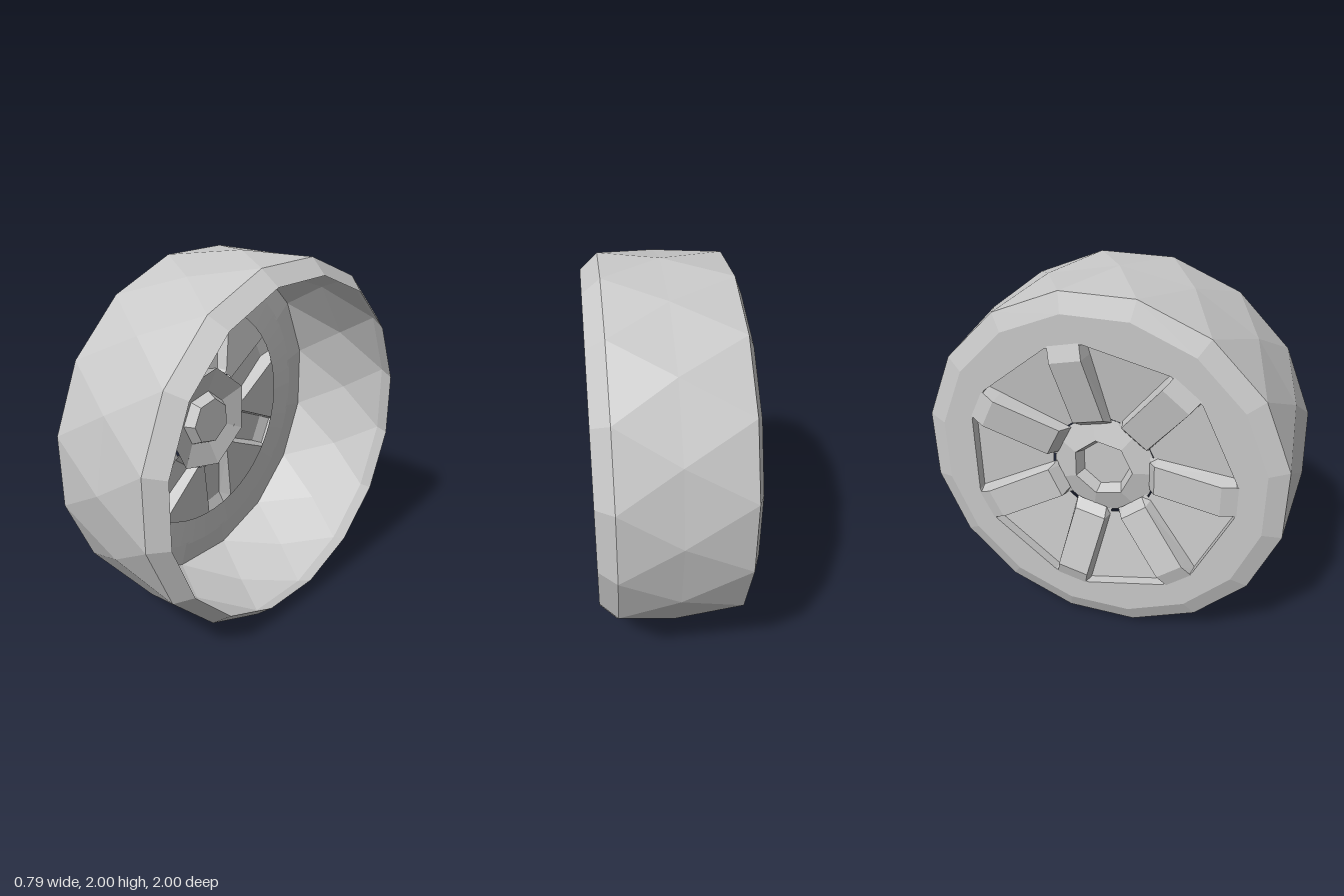
import * as THREE from 'three';

// Built with the axle along local +z (outer side), then turned to face -x.
const SPOKES = 7, SIDES = 16, STEP = Math.PI * 2 / SPOKES;
const grey = new THREE.MeshStandardMaterial({ color: 0xc8c8c8, flatShading: true, side: THREE.DoubleSide });
grey.name = 'grey';

// Skin rows of points; 'wrap' closes each row into a loop
function loft(rows, wrap) {
  const n = rows[0].length, pos = [];
  for (let i = 0; i < rows.length - 1; i++) {
    for (let j = 0; j < (wrap ? n : n - 1); j++) {
      const k = (j + 1) % n;
      const a = rows[i][j], b = rows[i][k], c = rows[i + 1][j], d = rows[i + 1][k];
      pos.push(...a, ...c, ...d, ...a, ...d, ...b);
    }
  }
  const g = new THREE.BufferGeometry();
  g.setAttribute('position', new THREE.Float32BufferAttribute(pos, 3));
  g.computeVertexNormals();
  return g;
}

// Regular polygon ring; 'shift' turns it by a fraction of one side
function ring(radius, depth, shift = 0, n = SIDES) {
  return Array.from({ length: n }, (_, i) => {
    const a = (i + shift) / n * Math.PI * 2;
    return [radius * Math.cos(a), radius * Math.sin(a), depth];
  });
}

// Point beside a spoke: distance along it, sideways offset and depth
function spokePoint(k, along, side, depth) {
  const c = Math.cos(k * STEP), s = Math.sin(k * STEP);
  return [along * c - side * s, along * s + side * c, depth];
}

const panelDepth = r => 0.26 + 0.06 * (r - 0.27) / 0.45;

export function createModel() {
  const model = new THREE.Group();
  model.name = 'wheel';
  model.position.y = 1;
  const wheel = new THREE.Group();
  wheel.name = 'wheelAssembly';
  wheel.rotation.y = -Math.PI / 2;
  model.add(wheel);
  const add = (name, geometry) => {
    const mesh = new THREE.Mesh(geometry, grey);
    mesh.name = name;
    wheel.add(mesh);
  };

  // Faceted tyre: shoulder, staggered tread and lip, then the hollow inside
  add('tyre', loft([
    ring(0.88, 0.375, 0.5), ring(0.98, 0.335, 0.5), ring(1, 0, 0),
    ring(0.995, -0.3, -0.5), ring(0.915, -0.39, -0.5),
  ], true));
  add('tyreInside', loft([
    ring(0.915, -0.39, 0.5), ring(0.975, -0.29, 0.5), ring(0.985, 0, 0), ring(0.95, 0.325, -0.5),
  ], true));
  add('innerSidewall', loft([ring(0.95, 0.325, -0.5), ring(0.8, 0.31, -0.5)], true));
  add('innerRim', loft([ring(0.81, 0.311, 0, 48), ring(0.64, 0.3, 0, 48)], true));

  // Flat outer sidewall with an opening that follows the spoke tips
  const rimEdge = depth => {
    const pts = [];
    for (let k = 0; k < SPOKES; k++) {
      pts.push(spokePoint(k, 0.72, -0.1, depth), spokePoint(k, 0.72, 0.1, depth));
    }
    return pts;
  };
  const toVectors = pts => pts.map(p => new THREE.Vector2(p[0], p[1]));
  const sidewall = new THREE.Shape(toVectors(ring(0.88, 0, 0.5)));
  sidewall.holes.push(new THREE.Path(toVectors(rimEdge(0))));
  add('outerSidewall', new THREE.ShapeGeometry(sidewall).translate(0, 0, 0.375));
  add('recessWall', loft([rimEdge(panelDepth(0.72)), rimEdge(0.375)], true));

  // Spokes are open-backed channels with recessed panels between them
  const stations = [[0.25, 0.07, 0.265], [0.29, 0.085, 0.32], [0.65, 0.085, 0.4], [0.74, 0.085, 0.372]];
  for (let k = 0; k < SPOKES; k++) {
    add('spoke', loft(stations.map(([r, half, top]) => [
      spokePoint(k, r, -0.1, panelDepth(r)), spokePoint(k, r, -half, top),
      spokePoint(k, r, half, top), spokePoint(k, r, 0.1, panelDepth(r)),
    ]), false));
    add('spokePanel', loft([0.27, 0.72].map(r => [
      spokePoint(k, r, 0.1, panelDepth(r)), spokePoint(k + 1, r, -0.1, panelDepth(r)),
    ]), false));
  }

  // Seven-sided hub with a sunken centre
  add('hub', loft([
    ring(0, 0.23, 0, 7), ring(0.135, 0.23, 0, 7), ring(0.165, 0.29, 0, 7), ring(0.31, 0.25, 0, 7),
  ], true));

  return model;
}
